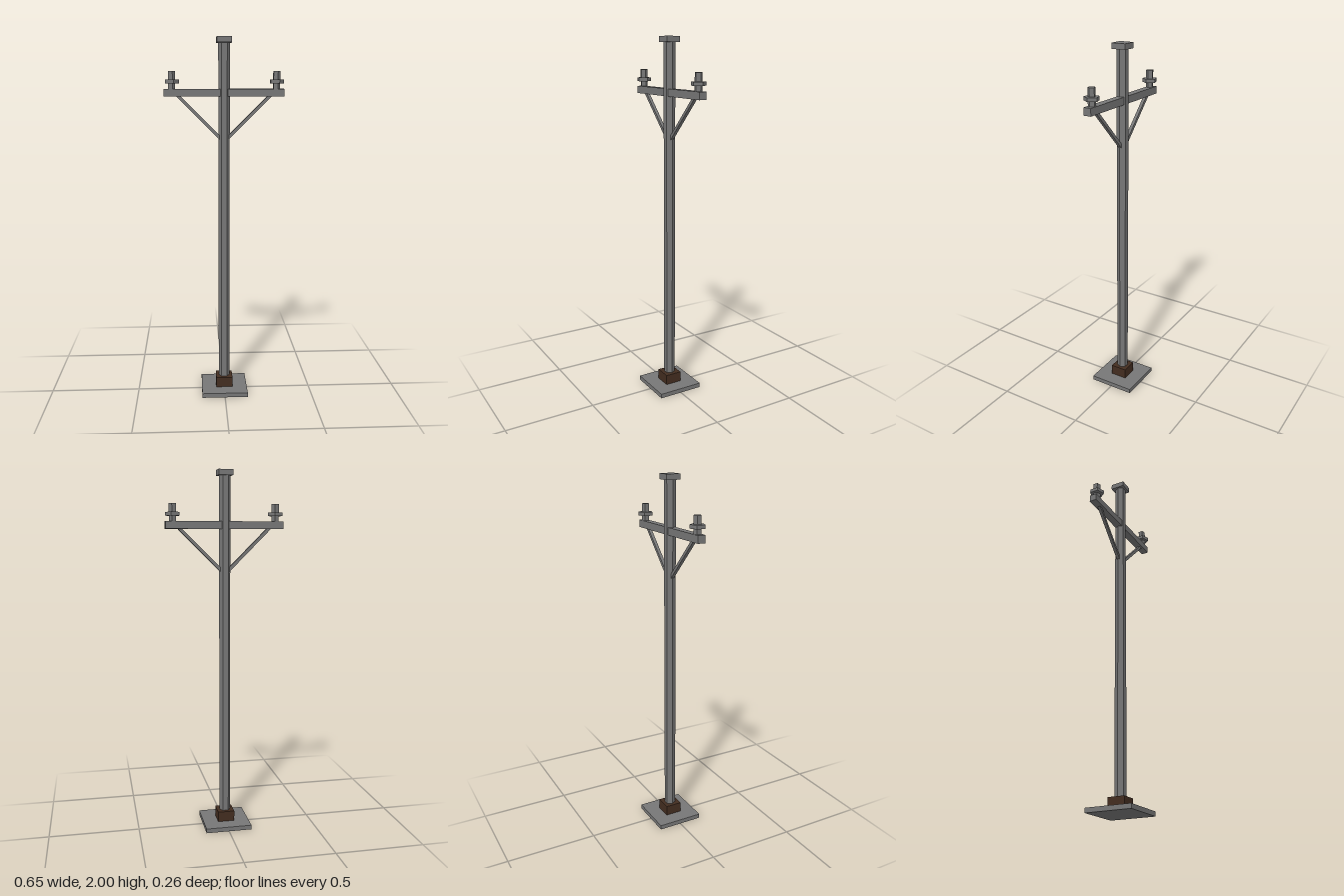
import * as THREE from 'three';

export function createModel() {
  const model = new THREE.Group();
  model.name = 'utilityPole';
  const metal = new THREE.MeshStandardMaterial({ color: 0x777777 });
  metal.name = 'grey metal';
  const footing = new THREE.MeshStandardMaterial({ color: 0x432d20 });
  footing.name = 'dark brown';

  const add = (name, geometry, material, x, y, z = 0) => {
    const mesh = new THREE.Mesh(geometry, material);
    mesh.name = name;
    mesh.position.set(x, y, z);
    model.add(mesh);
    return mesh;
  };
  // Box standing between two heights
  const block = (name, w, d, y0, y1, material = metal) =>
    add(name, new THREE.BoxGeometry(w, y1 - y0, d), material, 0, (y0 + y1) / 2);
  // Faceted prism with one corner towards +x
  const prism = (name, r, sides, x, y0, y1) => {
    const g = new THREE.CylinderGeometry(r, r, y1 - y0, sides).toNonIndexed();
    g.rotateY(Math.PI / 2);
    g.computeVertexNormals();
    return add(name, g, metal, x, (y0 + y1) / 2);
  };

  // Foot, shaft and cap
  block('basePlate', 0.26, 0.26, 0, 0.025);
  block('footingBlock', 0.094, 0.094, 0.025, 0.083, footing);
  prism('shaft', 0.031, 6, 0, 0.083, 1.97);
  block('cap', 0.08, 0.08, 1.97, 2);

  // Crossarm
  block('crossarm', 0.646, 0.042, 1.69, 1.73);

  // Braces and insulators on both sides
  for (const side of [-1, 1]) {
    const inner = new THREE.Vector2(side * 0.018, 1.464);
    const outer = new THREE.Vector2(side * 0.255, 1.7);
    const mid = inner.clone().add(outer).multiplyScalar(0.5);
    const span = outer.clone().sub(inner);
    const brace = add('brace', new THREE.BoxGeometry(span.length(), 0.017, 0.018), metal, mid.x, mid.y);
    brace.rotation.z = Math.atan2(span.y, span.x);

    prism('insulatorPost', 0.0205, 5, side * 0.282, 1.73, 1.823);
    prism('insulatorDisc', 0.041, 5, side * 0.282, 1.758, 1.778);
  }
  return model;
}
